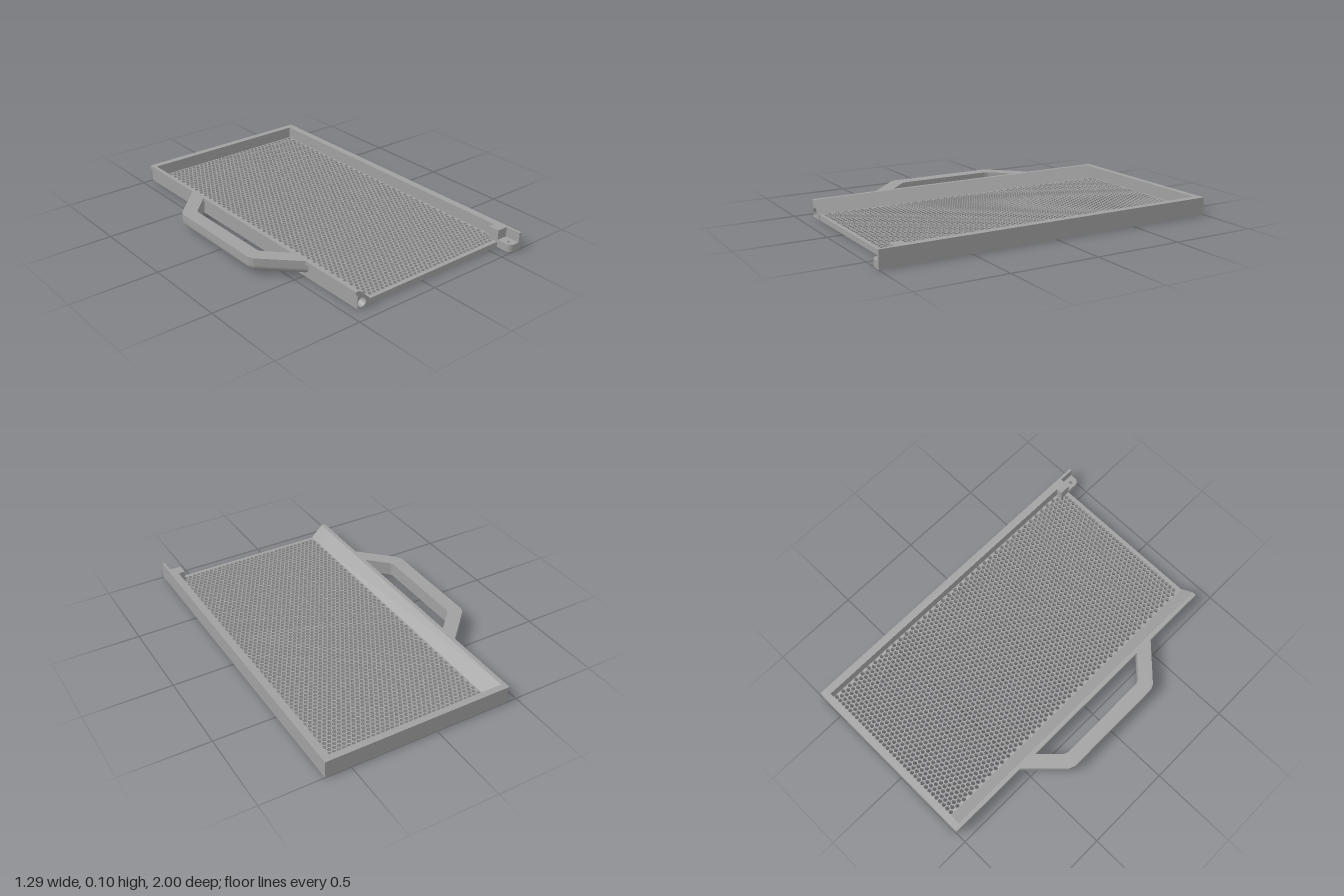
import * as THREE from 'three';

const grey = new THREE.MeshStandardMaterial({ color: 0xa0a0a0 });
grey.name = 'plain grey';

const shapeOf = (pts) => new THREE.Shape(pts.map(([a, b]) => new THREE.Vector2(a, b)));

// Extrudes a plan drawn in (x, -z) upwards from y0 to y1
function slab(shape, y0, y1) {
  const geo = new THREE.ExtrudeGeometry(shape, { depth: y1 - y0, bevelEnabled: false, curveSegments: 8 });
  return geo.rotateX(-Math.PI / 2).translate(0, y0, 0);
}

function roundHole(x, y, r) {
  const path = new THREE.Path();
  path.absarc(x, y, r, 0, Math.PI * 2, true);
  return path;
}

// Floor plate pierced by a staggered grid of hexagonal holes
function floorGeometry() {
  const x0 = -0.352, x1 = 0.605, z0 = -0.965, z1 = 0.908;
  const plan = shapeOf([[x0, -z1], [x1, -z1], [x1, -z0], [x0, -z0]]);
  const pitch = 0.028, r = 0.0128, rowStep = pitch * Math.sqrt(3) / 2;
  for (let row = 0, z = z0 + 0.021; z < z1 - r - 0.003; z += rowStep, row++) {
    const shift = row % 2 ? pitch / 2 : 0;
    for (let x = x0 + 0.016 + shift; x < x1 - r - 0.003; x += pitch) {
      const hex = [];
      for (let i = 0; i < 6; i++) {
        const a = -Math.PI / 6 - i * Math.PI / 3;
        hex.push(new THREE.Vector2(x + r * Math.cos(a), -z + r * Math.sin(a)));
      }
      plan.holes.push(new THREE.Path(hex));
    }
  }
  return slab(plan, 0, 0.031);
}

// Handle: one section carried along paired outer and inner plan points
function handleGeometry() {
  const half = [[-0.43, 0.54, -0.43, 0.426], [-0.635, 0.335, -0.558, 0.298], [-0.647, 0.305, -0.566, 0.278]];
  const stations = [...half, ...half.slice().reverse().map(([a, b, c, d]) => [a, -b, c, -d])];
  // Section as (share of width from the outside, height), lower outer edge rounded
  const section = [[1, 0.1], [0, 0.1]];
  for (let i = 0; i <= 8; i++) {
    const a = i / 8 * Math.PI / 2;
    section.push([0.5 * (1 - Math.cos(a)), 0.058 - 0.04 * Math.sin(a)]);
  }
  section.push([1, 0.018]);
  const point = ([ox, oz, ix, iz], [t, y]) => [ox + (ix - ox) * t, y, oz + (iz - oz) * t];
  const pos = [];
  for (let s = 0; s < stations.length - 1; s++) {
    for (let k = 0; k < section.length; k++) {
      const n = (k + 1) % section.length;
      const a = point(stations[s], section[k]), b = point(stations[s], section[n]);
      const c = point(stations[s + 1], section[n]), d = point(stations[s + 1], section[k]);
      pos.push(...a, ...d, ...c, ...a, ...c, ...b);
    }
  }
  const geo = new THREE.BufferGeometry();
  geo.setAttribute('position', new THREE.Float32BufferAttribute(pos, 3));
  geo.computeVertexNormals();
  return geo;
}

export function createModel() {
  const group = new THREE.Group();
  const add = (name, geo) => {
    const mesh = new THREE.Mesh(geo, grey);
    mesh.name = name;
    group.add(mesh);
  };
  const box = (name, x0, x1, y0, y1, z0, z1) => add(name,
    new THREE.BoxGeometry(x1 - x0, y1 - y0, z1 - z0).translate((x0 + x1) / 2, (y0 + y1) / 2, (z0 + z1) / 2));

  add('perforatedFloor', floorGeometry());

  // Walls at the back and on the left side
  box('backWall', -0.43, 0.645, 0, 0.1, -1, -0.962);
  box('leftWall', 0.602, 0.645, 0, 0.1, -1, 0.91);

  // Sloping wall on the handle side, with a round socket in its front end
  const profile = [[-0.435, 0], [-0.351, 0], [-0.351, 0.031], [-0.422, 0.1], [-0.446, 0.1], [-0.446, 0.08], [-0.435, 0.08]];
  const rail = (name, z0, z1, socket) => {
    const shape = shapeOf(profile);
    if (socket) shape.holes.push(roundHole(-0.407, 0.03, 0.0265));
    const geo = new THREE.ExtrudeGeometry(shape, { depth: z1 - z0, bevelEnabled: false, curveSegments: 16 });
    add(name, geo.translate(0, 0, z0));
  };
  rail('slopingWall', -1, 0.81, false);
  rail('slopingWallSocketEnd', 0.81, 0.91, true);

  add('handle', handleGeometry());

  // Corner lug: raised block, thin side wall and a drilled foot with a rounded corner
  box('lugBlock', 0.565, 0.605, 0, 0.1, 0.845, 0.91);
  box('lugSideWall', 0.63, 0.645, 0, 0.1, 0.905, 1);
  const foot = new THREE.Shape();
  foot.moveTo(0.635, -0.905);
  foot.lineTo(0.565, -0.905);
  foot.lineTo(0.565, -0.97);
  foot.absarc(0.595, -0.97, 0.03, Math.PI, Math.PI * 1.5, false);
  foot.lineTo(0.635, -1);
  foot.holes.push(roundHole(0.595, -0.962, 0.01));
  add('lugFoot', slab(foot, 0, 0.043));

  return group;
}
